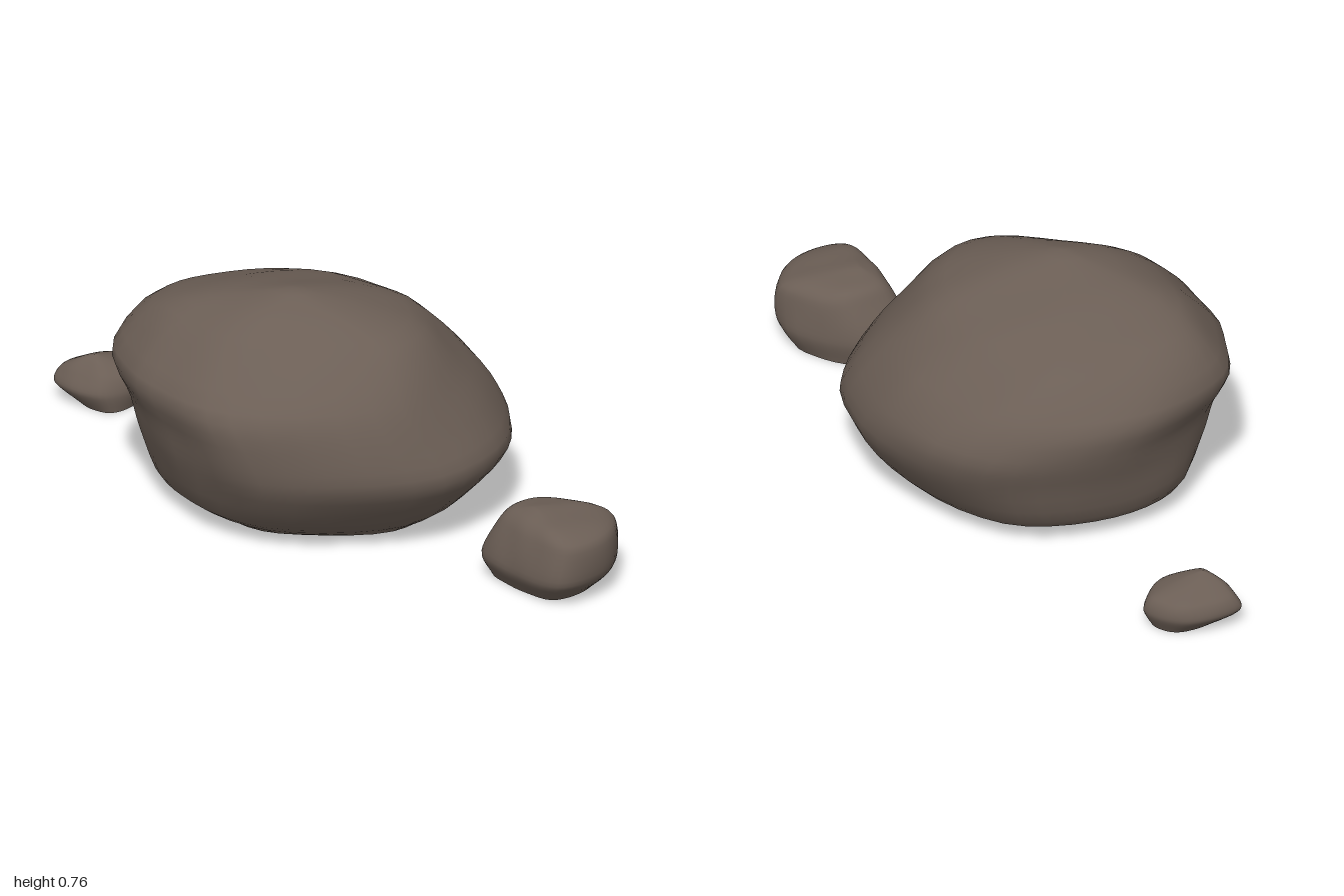
import * as THREE from 'three';

const SEGMENTS = 40;
const RINGS = 24;

// Scales values so that they span -1..1
function normalise(values) {
  const lo = Math.min(...values), hi = Math.max(...values);
  return values.map(v => (2 * v - lo - hi) / (hi - lo));
}

// Closed rounded plan (clockwise from above) fitted to a -1..1 square
function planCurve(points) {
  const corners = points.map(([x, z]) => new THREE.Vector3(x, 0, z));
  const curve = new THREE.CatmullRomCurve3(corners, true, 'centripetal');
  const pts = curve.getPoints(SEGMENTS).slice(0, SEGMENTS);
  const xs = normalise(pts.map(p => p.x)), zs = normalise(pts.map(p => p.z));
  return xs.map((x, i) => [x, zs[i]]);
}

// Smooth curve through one pair of limits of the levels
function limitCurve(levels, lo, hi) {
  const pts = levels.map(l => new THREE.Vector3(l[lo], l[0], l[hi]));
  return new THREE.CatmullRomCurve3(pts, false, 'catmullrom', 0.4);
}

// Low rolling bumps over the surface
function bump(x, y, z, f) {
  return Math.sin(f * x + 1.3) * Math.sin(f * 1.2 * y + 0.4) * Math.cos(f * 0.9 * z + 0.7)
    + 0.5 * Math.sin(f * 1.7 * (x + z) + f * y);
}

// Boulder lofted through levels [y, xMin, xMax, zMin, zMax]; the last level is its tip
function makeRock(name, material, lump, freq, plan, levels) {
  const outline = planCurve(plan);
  const xLimits = limitCurve(levels, 1, 2), zLimits = limitCurve(levels, 3, 4);
  const verts = [], index = [];
  for (let r = 0; r < RINGS; r++) {
    const { x: x0, y, z: x1 } = xLimits.getPoint(r / RINGS);
    const { x: z0, z: z1 } = zLimits.getPoint(r / RINGS);
    for (const [u, v] of outline) {
      const x = (x0 + x1) / 2 + u * (x1 - x0) / 2;
      const z = (z0 + z1) / 2 + v * (z1 - z0) / 2;
      const k = lump * bump(x, y, z, freq);
      verts.push(new THREE.Vector3(x + u * k, r ? y + k * 0.5 : 0, z + v * k));
    }
  }
  const tip = verts.length;
  const [tipY, tipX, , tipZ] = levels[levels.length - 1];
  verts.push(new THREE.Vector3(tipX, tipY, tipZ));

  // Base with its own corners, so that the ground edge stays sharp
  const base = verts.length, centre = base + SEGMENTS;
  for (let i = 0; i < SEGMENTS; i++) verts.push(verts[i].clone());
  const [, x0, x1, z0, z1] = levels[0];
  verts.push(new THREE.Vector3((x0 + x1) / 2, 0, (z0 + z1) / 2));

  // Sides, top and base faces
  for (let i = 0; i < SEGMENTS; i++) {
    const j = (i + 1) % SEGMENTS;
    for (let r = 0; r < RINGS - 1; r++) {
      const a = r * SEGMENTS + i, b = r * SEGMENTS + j;
      index.push(a, a + SEGMENTS, b, b, a + SEGMENTS, b + SEGMENTS);
    }
    const last = (RINGS - 1) * SEGMENTS;
    index.push(last + i, tip, last + j, base + i, base + j, centre);
  }

  const geometry = new THREE.BufferGeometry().setFromPoints(verts);
  geometry.setIndex(index);
  geometry.computeVertexNormals();
  const mesh = new THREE.Mesh(geometry, material);
  mesh.name = name;
  return mesh;
}

export function createModel() {
  const stone = new THREE.MeshStandardMaterial({ color: 0x6b5e55 });
  stone.name = 'brownStone';
  const group = new THREE.Group();
  group.name = 'boulders';

  group.add(makeRock('largeBoulder', stone, 0.008, 10,
    [[-0.17, -0.52], [0.34, -0.37], [0.55, -0.04], [0.42, 0.36],
      [-0.15, 0.55], [-0.53, 0.33], [-0.68, 0.05], [-0.55, -0.28]],
    [[0, -0.42, 0.31, -0.26, 0.3],
      [0.08, -0.55, 0.43, -0.4, 0.42],
      [0.24, -0.6, 0.56, -0.49, 0.53],
      [0.36, -0.63, 0.51, -0.52, 0.55],
      [0.49, -0.68, 0.42, -0.46, 0.53],
      [0.64, -0.56, 0.3, -0.26, 0.37],
      [0.72, -0.33, 0.1, -0.03, 0.25],
      [0.76, -0.1, -0.1, 0.13, 0.13]]));

  group.add(makeRock('mediumRock', stone, 0.003, 22,
    [[0.57, 0.43], [0.68, 0.29], [0.97, 0.31], [1, 0.5], [0.88, 0.645], [0.69, 0.56]],
    [[0, 0.6, 0.92, 0.3, 0.57],
      [0.08, 0.57, 0.99, 0.28, 0.645],
      [0.2, 0.63, 0.99, 0.3, 0.63],
      [0.24, 0.67, 0.9, 0.345, 0.57],
      [0.26, 0.75, 0.75, 0.46, 0.46]]));

  group.add(makeRock('smallRock', stone, 0.002, 30,
    [[-1, -0.5], [-0.88, -0.64], [-0.74, -0.63], [-0.73, -0.5], [-0.83, -0.4], [-0.97, -0.45]],
    [[0, -0.92, -0.74, -0.62, -0.42],
      [0.06, -1, -0.72, -0.65, -0.4],
      [0.11, -0.98, -0.735, -0.63, -0.425],
      [0.15, -0.91, -0.82, -0.535, -0.46],
      [0.165, -0.87, -0.87, -0.49, -0.49]]));

  return group;
}
